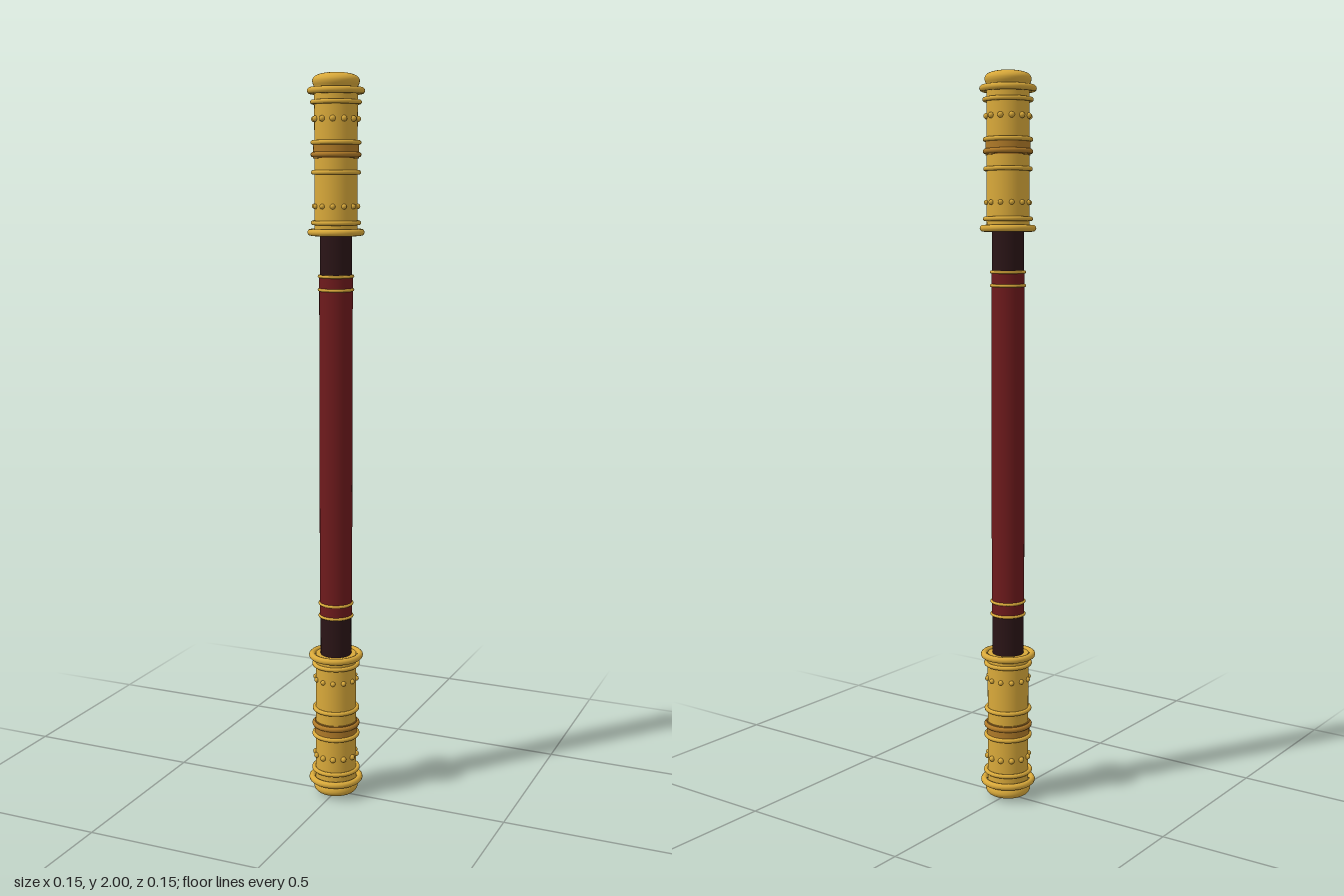
import * as THREE from 'three';

const mat = (color) => new THREE.MeshStandardMaterial({ color });
const GOLD = mat(0xd9a93a), BRONZE = mat(0xb07a28), RED = mat(0x6e1a1c), DARK = mat(0x2a1416);

function add(parent, name, geometry, material, y = 0) {
  const mesh = new THREE.Mesh(geometry, material);
  mesh.name = name;
  mesh.position.y = y;
  parent.add(mesh);
  return mesh;
}

// horizontal ring with the given outer radius
function ring(parent, name, y, outer, tube, material = GOLD) {
  const geo = new THREE.TorusGeometry(outer - tube, tube, 12, 48).rotateX(Math.PI / 2);
  add(parent, name, geo, material, y);
}

// circle of small round studs
function studs(parent, name, y, radius, size, count = 12) {
  const group = new THREE.Group();
  group.name = name;
  const geo = new THREE.SphereGeometry(size, 12, 8);
  for (let i = 0; i < count; i++) {
    const a = ((i + 0.5) / count) * Math.PI * 2;
    const stud = add(group, 'stud', geo, GOLD, y);
    stud.position.x = Math.cos(a) * radius;
    stud.position.z = Math.sin(a) * radius;
  }
  parent.add(group);
}

// one ornate end, measured upward from the middle of the staff
function createEnd(name) {
  const end = new THREE.Group();
  end.name = name;
  add(end, 'darkCollar', new THREE.CylinderGeometry(0.043, 0.043, 0.13, 48), DARK, 0.53);
  ring(end, 'gripRingOuter', 0.472, 0.049, 0.004);
  ring(end, 'gripRingInner', 0.436, 0.049, 0.004);

  // gold sleeve with flanges at both ends
  add(end, 'sleeve', new THREE.CylinderGeometry(0.057, 0.057, 0.372, 48), GOLD, 0.77);
  ring(end, 'innerFlange', 0.588, 0.076, 0.009);
  ring(end, 'innerFlangeRing', 0.613, 0.067, 0.006);
  ring(end, 'outerFlange', 0.953, 0.076, 0.009);
  ring(end, 'outerFlangeRing', 0.924, 0.068, 0.006);

  // central banding
  add(end, 'centreBand', new THREE.CylinderGeometry(0.06, 0.06, 0.04, 48), BRONZE, 0.8);
  ring(end, 'bandRingTop', 0.821, 0.067, 0.006);
  ring(end, 'bandRingMiddle', 0.79, 0.067, 0.007, BRONZE);
  ring(end, 'bandRingBottom', 0.744, 0.066, 0.006);

  studs(end, 'outerStuds', 0.881, 0.058, 0.008);
  studs(end, 'innerStuds', 0.656, 0.058, 0.007);

  // rounded pommel cap
  const profile = new THREE.SplineCurve([
    [0.052, 0.945], [0.057, 0.962], [0.0615, 0.973], [0.061, 0.983],
    [0.052, 0.992], [0.03, 0.998], [0, 1],
  ].map(([r, y]) => new THREE.Vector2(r, y))).getPoints(24);
  profile.forEach((p) => { p.x = Math.max(p.x, 0); });
  add(end, 'cap', new THREE.LatheGeometry(profile, 48), GOLD);
  return end;
}

export function createModel() {
  const staff = new THREE.Group();
  staff.name = 'staff';
  add(staff, 'grip', new THREE.CylinderGeometry(0.045, 0.045, 0.944, 48), RED, 1);

  const top = createEnd('topEnd');
  top.position.y = 1;
  const bottom = createEnd('bottomEnd');
  bottom.position.y = 1;
  bottom.rotation.x = Math.PI;
  staff.add(top, bottom);
  return staff;
}
